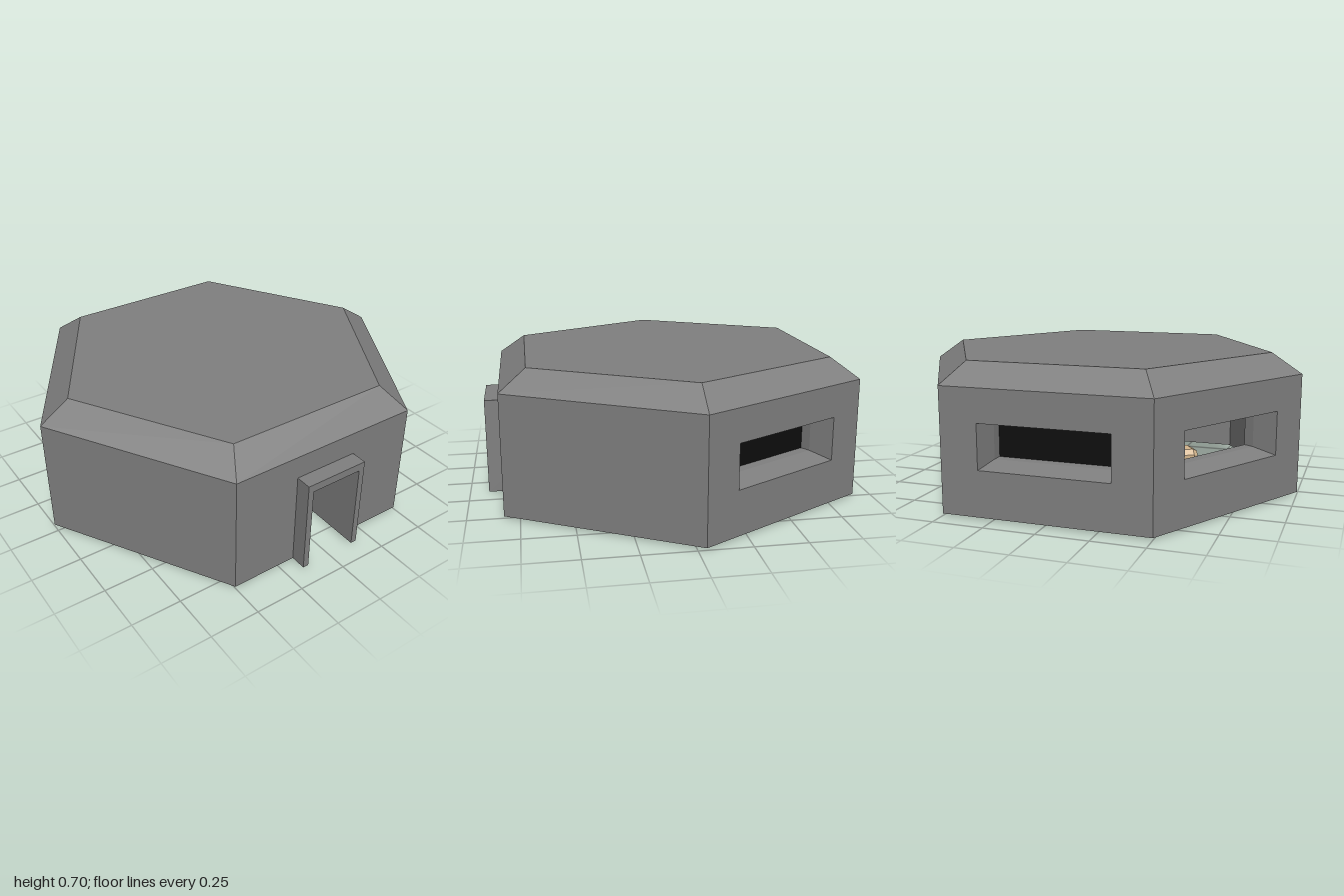
import * as THREE from 'three';

const R = 1, APOTHEM = R * Math.sqrt(3) / 2, BASE = 0.01, EAVES = 0.605, TOP = 0.705;

const material = (name, color) => new THREE.MeshStandardMaterial({
  name, color, flatShading: true, side: THREE.DoubleSide });

function add(parent, name, geometry, mat, x = 0, y = 0, z = 0) {
  const mesh = new THREE.Mesh(geometry, mat);
  mesh.name = name;
  mesh.position.set(x, y, z);
  parent.add(mesh);
  return mesh;
}

function polygon(points, PathType = THREE.Shape) {
  return new PathType(points.map(([x, y]) => new THREE.Vector2(x, y)));
}

const rectangle = (w, y0, y1) => [[-w, y0], [w, y0], [w, y1], [-w, y1]];

// Joins equal closed loops of [x, y, z] points into a surface
function loft(loops) {
  const positions = [];
  for (let i = 0; i + 1 < loops.length; i++) {
    const a = loops[i], b = loops[i + 1], n = a.length;
    for (let j = 0; j < n; j++) {
      const k = (j + 1) % n;
      positions.push(...a[j], ...a[k], ...b[k], ...a[j], ...b[k], ...b[j]);
    }
  }
  const g = new THREE.BufferGeometry();
  g.setAttribute('position', new THREE.Float32BufferAttribute(positions, 3));
  g.computeVertexNormals();
  return g;
}

// A rod between two points
function rod(parent, name, a, b, radius, mat) {
  const from = new THREE.Vector3(...a), to = new THREE.Vector3(...b);
  const dir = to.clone().sub(from);
  const mesh = add(parent, name, new THREE.CylinderGeometry(radius, radius, dir.length(), 8), mat);
  mesh.position.copy(from).add(to).multiplyScalar(0.5);
  mesh.quaternion.setFromUnitVectors(new THREE.Vector3(0, 1, 0), dir.normalize());
}

// Plump bag with chamfered ends and narrowed edges
function bagGeometry(length, height, depth) {
  const section = (x, s) => {
    const h = height / 2 * s, d = depth / 2 * s;
    return [[x, -h, -d * 0.7], [x, -h * 0.5, -d], [x, h * 0.5, -d], [x, h, -d * 0.7],
      [x, h, d * 0.7], [x, h * 0.5, d], [x, -h * 0.5, d], [x, -h, d * 0.7]];
  };
  const l = length / 2;
  return loft([section(-l, 0.01), section(-l, 0.75), section(-l * 0.8, 1),
    section(l * 0.8, 1), section(l, 0.75), section(l, 0.01)]);
}

export function createModel() {
  const concrete = material('concrete grey', 0x7f7f7f);
  const black = material('opening black', 0x0d0d0d);
  const sand = material('sandbag tan', 0xd2b48c);
  const metal = material('gun metal', 0x3a3a3a);

  const model = new THREE.Group();
  model.name = 'bunker';
  const body = new THREE.Group();
  body.name = 'hexagonalBody';
  body.position.z = -0.04;
  model.add(body);

  // Six walls: the doorway in front, firing slits in the three rear walls
  for (let i = 0; i < 6; i++) {
    const side = new THREE.Group();
    side.name = 'wallSide' + (i + 1);
    side.rotation.y = i * Math.PI / 3;
    body.add(side);

    const outline = i === 0
      ? polygon([[-0.5, BASE], [-0.135, BASE], [-0.135, 0.45], [0.135, 0.45],
        [0.135, BASE], [0.5, BASE], [0.5, EAVES], [-0.5, EAVES]])
      : polygon(rectangle(0.5, BASE, EAVES));
    const slit = i >= 2 && i <= 4;
    if (slit) outline.holes.push(polygon(rectangle(0.315, 0.23, 0.445), THREE.Path));
    add(side, 'wall', new THREE.ShapeGeometry(outline), concrete, 0, 0, APOTHEM);

    if (slit) {
      const loop = (w, y0, y1, d) => rectangle(w, y0, y1).map(([x, y]) => [x, y, APOTHEM - d]);
      add(side, 'slitSurround', loft([loop(0.315, 0.23, 0.445, 0),
        loop(0.29, 0.255, 0.42, 0.12), loop(0.29, 0.255, 0.42, 0.173)]), concrete);
      if (i < 4) {
        add(side, 'slitDarkness', new THREE.PlaneGeometry(0.58, 0.165), black,
          0, 0.3375, APOTHEM - 0.172);
      }
    }
  }

  // Bevelled roof
  add(body, 'roofBevel', new THREE.CylinderGeometry(0.85, R, TOP - EAVES, 6, 1, true, Math.PI / 6),
    concrete, 0, (TOP + EAVES) / 2, 0);
  add(body, 'roofSlab', new THREE.CircleGeometry(0.85, 6).rotateX(-Math.PI / 2), concrete, 0, TOP, 0);

  // Door passage, projecting outside and running inward to a dark end
  const frame = polygon([[-0.165, BASE], [-0.135, BASE], [-0.135, 0.45], [0.135, 0.45],
    [0.135, BASE], [0.165, BASE], [0.165, 0.49], [-0.165, 0.49]]);
  add(body, 'doorPassage', new THREE.ExtrudeGeometry(frame, { depth: 0.545, bevelEnabled: false }),
    concrete, 0, 0, 0.4);
  add(body, 'doorDarkness', new THREE.PlaneGeometry(0.27, 0.44), black, 0, 0.23, 0.405);

  // Curved breastwork of two sandbag rows on low slabs
  const breastwork = new THREE.Group();
  breastwork.name = 'sandbagBreastwork';
  breastwork.position.set(-0.04, 0, 0.386);
  body.add(breastwork);
  for (let i = 0; i < 4; i++) {
    const column = new THREE.Group();
    column.name = 'sandbagColumn' + (i + 1);
    column.rotation.y = (i - 1.5) * 0.4;
    breastwork.add(column);
    for (let row = 0; row < 2; row++) {
      add(column, 'sandbag', bagGeometry(0.25, 0.1, 0.13), sand, 0, 0.062 + row * 0.098, -0.6);
    }
    if (i === 0 || i === 3) {
      add(column, 'footSlab', new THREE.BoxGeometry(0.14, 0.012, 0.16), concrete, 0, 0.006, -0.56);
    }
  }

  // Tripod gun aimed at the rear slit
  const gun = new THREE.Group();
  gun.name = 'tripodGun';
  gun.position.set(0.05, 0, 0);
  body.add(gun);
  add(gun, 'receiver', new THREE.BoxGeometry(0.04, 0.05, 0.2), metal, 0, 0.31, -0.04);
  add(gun, 'ammunitionBox', new THREE.BoxGeometry(0.05, 0.045, 0.07), metal, 0.045, 0.3, -0.06);
  rod(gun, 'barrel', [0, 0.315, -0.1], [0, 0.315, -0.52], 0.009, metal);
  rod(gun, 'grip', [0, 0.3, 0.05], [0, 0.25, 0.07], 0.008, metal);
  for (const [x, z] of [[0.09, 0.06], [-0.09, 0.06], [0, -0.12]]) {
    rod(gun, 'tripodLeg', [0, 0.29, -0.04], [x, 0.006, z], 0.008, metal);
  }
  return model;
}
